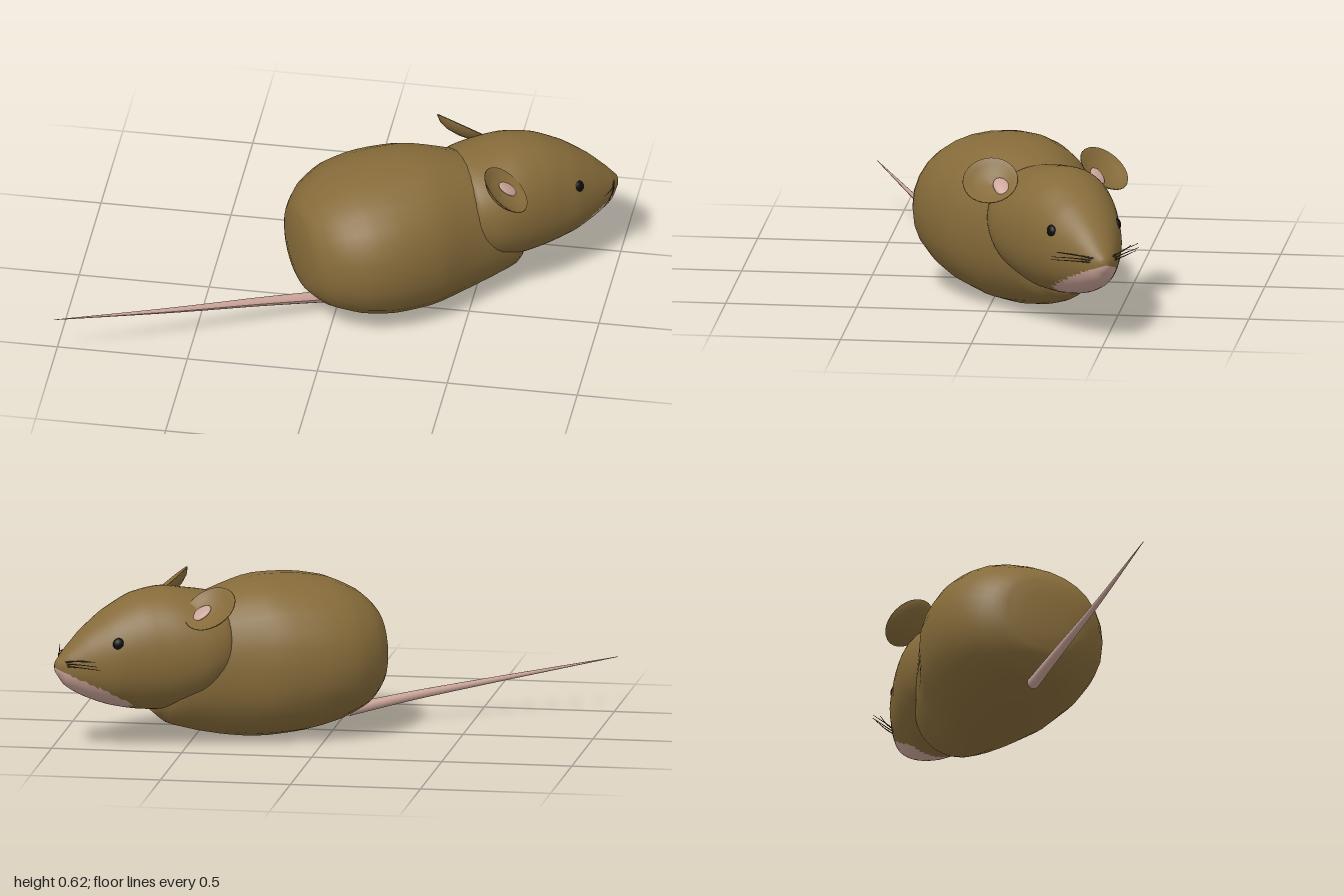
import * as THREE from 'three';

const mat = (name, color, side = THREE.FrontSide) => {
  const m = new THREE.MeshStandardMaterial({ color, side });
  m.name = name;
  return m;
};

// Smooth closed loft along +x. Each section: [x, half width, bottom y, top y].
// isSecond(x, y) sends faces to the second material.
function loft(sections, rings, sides, power, isSecond = () => false) {
  const sizes = new THREE.CatmullRomCurve3(sections.map(s => new THREE.Vector3(s[1], s[2], s[3])));
  const along = new THREE.CatmullRomCurve3(sections.map(s => new THREE.Vector3(s[0], 0, 0)));
  const pos = [], faces = [[], []];
  const bend = c => Math.sign(c) * Math.abs(c) ** (2 / power);
  for (let i = 0; i <= rings; i++) {
    const s = sizes.getPoint(i / rings), x = along.getPoint(i / rings).x;
    for (let j = 0; j < sides; j++) {
      const a = j / sides * Math.PI * 2;
      pos.push(x, (s.y + s.z) / 2 + (s.z - s.y) / 2 * bend(Math.sin(a)), s.x * bend(Math.cos(a)));
    }
  }
  const first = sections[0], last = sections[sections.length - 1];
  const back = pos.length / 3, front = back + 1;
  pos.push(first[0] - 0.006, (first[2] + first[3]) / 2, 0, last[0] + 0.006, (last[2] + last[3]) / 2, 0);
  const add = (...ids) => {
    const mean = k => ids.reduce((t, i) => t + pos[i * 3 + k], 0) / 3;
    faces[isSecond(mean(0), mean(1)) ? 1 : 0].push(...ids);
  };
  for (let j = 0; j < sides; j++) {
    const k = (j + 1) % sides, end = rings * sides;
    add(back, j, k);
    add(front, end + k, end + j);
    for (let i = 0; i < rings; i++) {
      const p = i * sides, q = p + sides;
      add(p + j, q + j, p + k);
      add(q + j, q + k, p + k);
    }
  }
  const g = new THREE.BufferGeometry();
  g.setAttribute('position', new THREE.Float32BufferAttribute(pos, 3));
  g.setIndex([...faces[0], ...faces[1]]);
  g.addGroup(0, faces[0].length, 0);
  g.addGroup(faces[0].length, faces[1].length, 1);
  g.computeVertexNormals();
  return g;
}

// Thin tapering rod through a few points
function taper(points, r0, r1, steps, sides) {
  const curve = new THREE.CatmullRomCurve3(points.map(p => new THREE.Vector3(...p)));
  const g = new THREE.TubeGeometry(curve, steps, 1, sides);
  const pos = g.attributes.position, v = new THREE.Vector3();
  for (let i = 0; i < pos.count; i++) {
    const t = Math.floor(i / (sides + 1)) / steps, c = curve.getPointAt(t);
    v.fromBufferAttribute(pos, i).sub(c).multiplyScalar(r0 + (r1 - r0) * t).add(c);
    pos.setXYZ(i, v.x, v.y, v.z);
  }
  g.computeVertexNormals();
  return g;
}

export function createModel() {
  const fur = mat('brown fur', 0x866b3a);
  const skin = mat('pink skin', 0xc9a397, THREE.DoubleSide);
  const black = mat('eye black', 0x0c0c0c);
  const hair = mat('whisker brown', 0x4a3b20);

  const mouse = new THREE.Group();
  mouse.name = 'mouse';
  const put = (name, geometry, material, parent = mouse) => {
    const m = new THREE.Mesh(geometry, material);
    m.name = name;
    parent.add(m);
    return m;
  };

  // Plump body
  put('body', loft([
    [-0.195, 0.09, 0.22, 0.40], [-0.175, 0.18, 0.15, 0.47], [-0.11, 0.265, 0.09, 0.535],
    [0, 0.325, 0.045, 0.59], [0.13, 0.335, 0.015, 0.615], [0.28, 0.31, 0.004, 0.62],
    [0.42, 0.25, 0.014, 0.59], [0.55, 0.205, 0.04, 0.54], [0.66, 0.16, 0.075, 0.42],
    [0.72, 0.08, 0.125, 0.30],
  ], 27, 28, 2.15), [fur, skin]);

  // Head with a bare pink chin
  put('head', loft([
    [0.43, 0.16, 0.27, 0.52], [0.48, 0.222, 0.20, 0.57], [0.57, 0.24, 0.155, 0.588],
    [0.67, 0.225, 0.135, 0.603], [0.78, 0.195, 0.14, 0.588], [0.9, 0.155, 0.165, 0.53],
    [1.0, 0.102, 0.205, 0.455], [1.07, 0.058, 0.25, 0.385], [1.105, 0.018, 0.30, 0.345],
  ], 48, 56, 2.1, (x, y) => x > 0.83 && y < 0.2 + (x - 0.87) * 0.5), [fur, skin]);

  // Tail
  put('tail', taper([[-0.08, 0.065, 0], [-0.33, 0.1, 0], [-0.68, 0.14, -0.005], [-1.165, 0.195, -0.025]],
    0.023, 0.001, 24, 10), skin);

  // Shallow bowl with a rim, opening towards +y
  const bowl = new THREE.LatheGeometry([
    [0, -0.03], [0.05, -0.025], [0.085, -0.011], [0.106, 0.008], [0.104, 0.012],
    [0.08, -0.001], [0.048, -0.013], [0, -0.018],
  ].map(p => new THREE.Vector2(...p)), 28);

  for (const side of [1, -1]) {
    const label = side > 0 ? 'left' : 'right';

    // Ear facing forward, up and outward
    const ear = new THREE.Group();
    ear.name = label + 'Ear';
    ear.position.set(0.56, 0.545, 0.01 + side * 0.232);
    const normal = new THREE.Vector3(0.56, 0.76, side * 0.325).normalize();
    ear.quaternion.setFromUnitVectors(new THREE.Vector3(0, 1, 0), normal);
    mouse.add(ear);
    put(label + 'EarShell', bowl, fur, ear);
    const inner = put(label + 'EarInside', new THREE.SphereGeometry(1, 20, 12), skin, ear);
    inner.scale.set(0.045, 0.01, 0.03);
    inner.position.set(0.035, -0.009, -side * 0.03);

    // Eye
    const eye = put(label + 'Eye', new THREE.SphereGeometry(0.026, 20, 14), black);
    eye.position.set(0.897, 0.42, side * 0.131);
    eye.scale.z = 0.75;

    // Whiskers
    [[0.99, 0.335, 0.175], [1.005, 0.35, 0.18], [1.025, 0.372, 0.168], [1.0, 0.362, 0.15]].forEach((tip, i) => {
      const y = 0.328 + i * 0.006;
      const whisker = taper([[1.085, y, side * 0.025],
        [1.055, (y + tip[1]) / 2 + 0.004, side * 0.095], [tip[0], tip[1], side * tip[2]]],
        0.0028, 0.001, 8, 5);
      put(label + 'Whisker' + (i + 1), whisker, hair);
    });
  }

  // Turn the animal to its diagonal pose
  mouse.rotation.y = Math.PI / 6;
  mouse.position.set(0.025, 0, 0.042);
  const model = new THREE.Group();
  model.name = 'model';
  model.add(mouse);
  return model;
}
